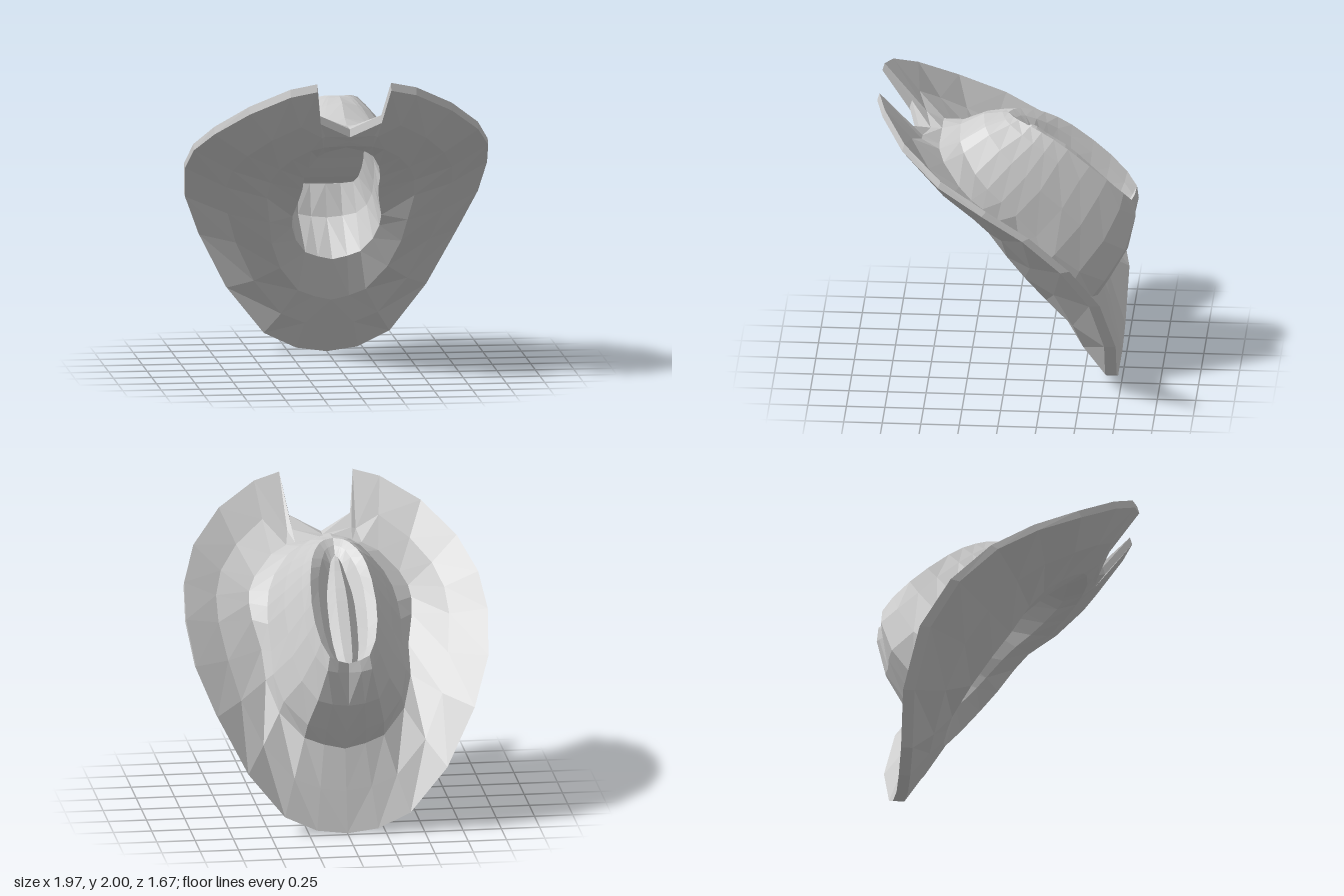
import * as THREE from 'three';

const V = (p) => new THREE.Vector3(...p);

// Where each of the 14 half-columns (front centre to rear centre) falls on an 8-point ring
const COLS = [0, 0.6, 0.8, 1.2, 1.8, 2.3, 2.8, 3.3, 4, 4.6, 5.3, 6, 6.5, 7];

// Half ring on the +x side, sampled at the shared columns
function ring(...pts) {
  const curve = new THREE.CatmullRomCurve3(pts.map(V));
  return COLS.map((c) => curve.getPoint(c / 7));
}

// Skin a sequence of half rings, mirrored into full loops
function loft(name, halves, material) {
  const rings = halves.map((h) => [
    ...h, ...h.slice(1, -1).reverse().map((p) => new THREE.Vector3(-p.x, p.y, p.z)),
  ]);
  const n = rings[0].length, index = [];
  for (let r = 0; r < rings.length - 1; r++) {
    for (let k = 0; k < n; k++) {
      const a = r * n + k, a2 = r * n + (k + 1) % n, b = a + n, b2 = a2 + n;
      if (k < n / 2) index.push(a, b, b2, a, b2, a2);
      else index.push(a, b, a2, b, b2, a2); // mirrored diagonal
    }
  }
  const geometry = new THREE.BufferGeometry().setFromPoints(rings.flat());
  geometry.setIndex(index);
  const flat = geometry.toNonIndexed();
  flat.computeVertexNormals();
  const mesh = new THREE.Mesh(flat, material);
  mesh.name = name;
  return mesh;
}

export function createModel() {
  const group = new THREE.Group();
  group.name = 'hat';
  const material = new THREE.MeshStandardMaterial({ color: 0xcccccc, flatShading: true });

  // Flare of the brim and the crown above it, up to the crest
  const flare = ring([0, 1.66, 0.43], [0.3, 1.6, 0.42], [0.5, 1.42, 0.25], [0.53, 1.3, 0.1],
    [0.48, 1.08, -0.1], [0.45, 0.82, -0.37], [0.26, 0.61, -0.56], [0, 0.54, -0.6]);
  const base = ring([0, 1.69, 0.31], [0.22, 1.63, 0.29], [0.38, 1.46, 0.16], [0.43, 1.3, -0.02],
    [0.43, 1.1, -0.21], [0.42, 0.9, -0.41], [0.25, 0.72, -0.64], [0, 0.67, -0.67]);
  const shoulder = ring([0, 1.77, 0.16], [0.16, 1.72, 0.13], [0.28, 1.6, 0.01], [0.34, 1.44, -0.17],
    [0.34, 1.26, -0.37], [0.31, 1.07, -0.57], [0.2, 0.92, -0.77], [0, 0.88, -0.775]);
  const upper = ring([0, 1.785, 0.04], [0.11, 1.765, 0], [0.2, 1.69, -0.13], [0.24, 1.59, -0.28],
    [0.25, 1.43, -0.48], [0.23, 1.25, -0.68], [0.145, 1.14, -0.835], [0, 1.11, -0.795]);
  const crest = ring([0, 1.785, 0], [0.08, 1.78, -0.05], [0.15, 1.74, -0.18], [0.19, 1.66, -0.34],
    [0.21, 1.51, -0.54], [0.19, 1.35, -0.72], [0.13, 1.23, -0.825], [0, 1.17, -0.79]);

  // Long dent running out at the rear, with a ridge down its middle
  const dentSide = ring([0, 1.75, -0.05], [0.055, 1.74, -0.09], [0.1, 1.69, -0.2], [0.14, 1.6, -0.34],
    [0.15, 1.45, -0.53], [0.13, 1.29, -0.71], [0.085, 1.19, -0.8], [0, 1.16, -0.785]);
  const dentFloor = ring([0, 1.7, -0.1], [0.03, 1.67, -0.14], [0.06, 1.58, -0.23], [0.085, 1.49, -0.35],
    [0.09, 1.34, -0.52], [0.075, 1.21, -0.68], [0.05, 1.15, -0.77], [0, 1.15, -0.78]);
  const dentRidge = dentFloor.map((p, k) => {
    const lift = 0.045 * Math.sin(Math.PI * k / 13);
    return new THREE.Vector3(p.x * 0.4, p.y + lift, p.z - lift);
  });
  const onCentre = (half) => half.map((p) => new THREE.Vector3(0, p.y, p.z));

  // Opening underneath and the inside of the crown
  const underRing = ring([0, 1.54, 0.52], [0.2, 1.52, 0.49], [0.38, 1.41, 0.37], [0.48, 1.21, 0.15],
    [0.45, 0.96, -0.02], [0.39, 0.7, -0.21], [0.22, 0.45, -0.38], [0, 0.38, -0.41]);
  const opening = ring([0, 1.51, 0.39], [0.16, 1.46, 0.36], [0.24, 1.33, 0.23], [0.25, 1.15, 0.04],
    [0.29, 0.98, -0.11], [0.27, 0.85, -0.21], [0.18, 0.71, -0.32], [0, 0.655, -0.35]);
  const innerWall = ring([0, 1.6, 0.15], [0.12, 1.56, 0.1], [0.21, 1.45, 0], [0.25, 1.3, -0.18],
    [0.27, 1.15, -0.36], [0.26, 1.01, -0.5], [0.19, 0.91, -0.63], [0, 0.88, -0.65]);
  const roof = ring([0, 1.6, -0.05], [0.1, 1.58, -0.09], [0.17, 1.52, -0.2], [0.2, 1.44, -0.32],
    [0.22, 1.3, -0.48], [0.21, 1.17, -0.62], [0.18, 1.1, -0.72], [0, 1.09, -0.72]);

  // Brim outline; the first three points make the notch at the front
  const edgeTop = [[0, 1.66, 0.58], [0.2, 1.76, 0.64], [0.24, 2, 0.82], [0.41, 1.96, 0.775],
    [0.66, 1.83, 0.63], [0.86, 1.66, 0.38], [0.96, 1.5, 0.08], [0.985, 1.33, -0.2],
    [0.955, 1.09, -0.46], [0.84, 0.8, -0.65], [0.65, 0.43, -0.74], [0.41, 0.13, -0.73],
    [0.2, 0.03, -0.725], [0, 0.003, -0.72]].map(V);
  const edgeUnder = edgeTop.map((p, k) => {
    const s = THREE.MathUtils.smoothstep(k, 4, 10);
    return new THREE.Vector3(p.x, p.y - 0.05 * (1 - s), p.z + 0.015 + 0.06 * s);
  });
  // Halfway ring with a slight sag, kept behind the notch corner
  const between = (inner, edge) => inner.map((p, k) => {
    const sag = 0.025 * Math.sin(Math.PI * k / 13);
    return p.clone().lerp(edge[k === 2 ? 1 : k], 0.5).add(new THREE.Vector3(0, -sag, sag));
  });

  group.add(
    loft('crown', [onCentre(dentRidge), dentRidge, dentFloor, dentSide, crest, upper, shoulder, base], material),
    loft('brim', [base, flare, between(flare, edgeTop), edgeTop, edgeUnder,
      between(underRing, edgeUnder), underRing, opening], material),
    loft('crownInside', [opening, innerWall, roof, onCentre(roof)], material),
  );
  return group;
}
